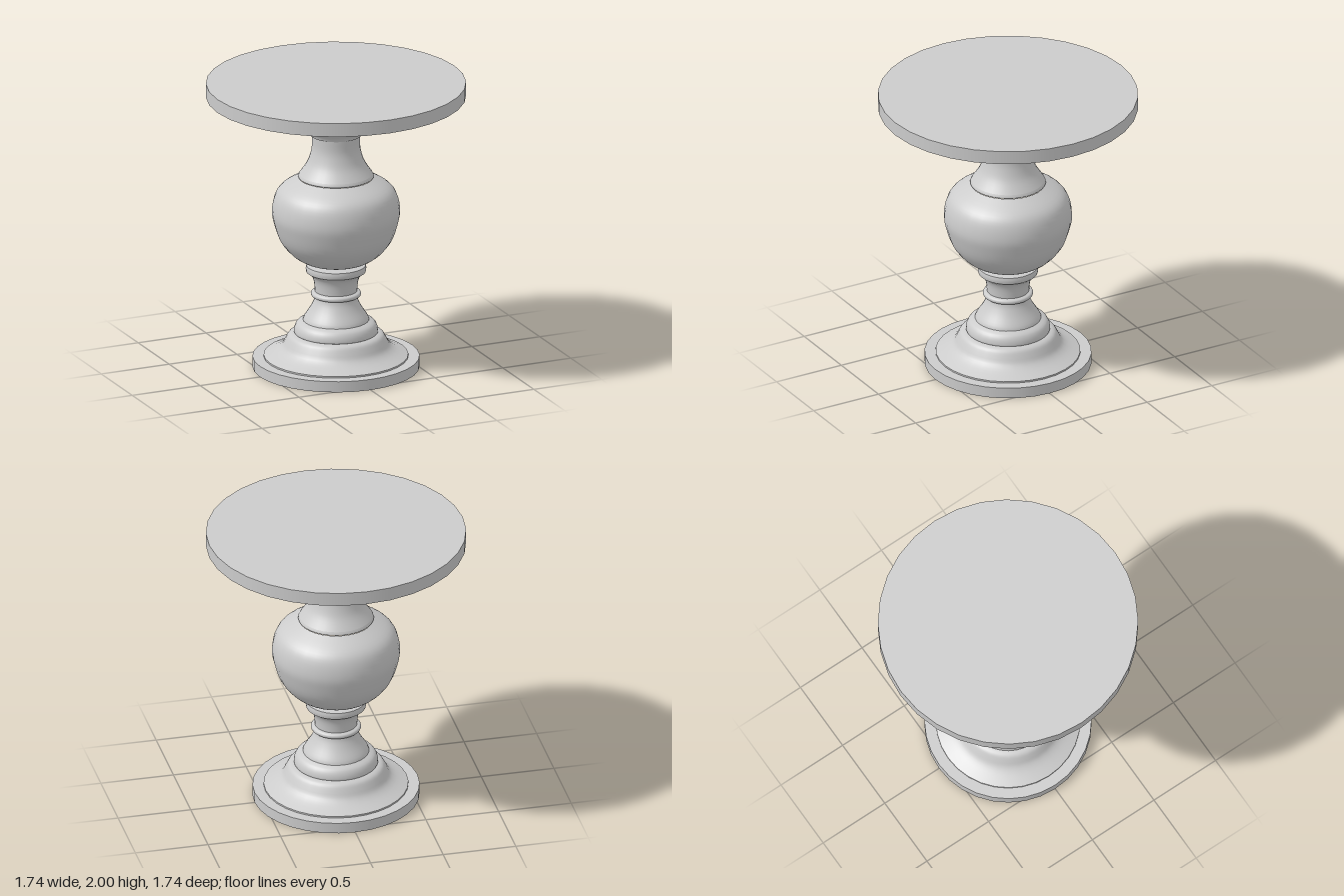
import * as THREE from 'three';

const SIDES = 32;
const material = new THREE.MeshStandardMaterial({ color: 0xcccccc });

export function createModel() {
  const table = new THREE.Group();
  table.name = 'pedestalTable';

  function add(name, geometry, y = 0) {
    const mesh = new THREE.Mesh(geometry, material);
    mesh.name = name;
    mesh.position.y = y;
    table.add(mesh);
  }

  // Flat round slab between two heights
  function slab(name, radius, y0, y1) {
    add(name, new THREE.CylinderGeometry(radius, radius, y1 - y0, SIDES), (y0 + y1) / 2);
  }

  // Turned section: [radius, height] points from bottom to top, smoothed by a spline
  function turned(name, profile, steps = 3) {
    const points = profile.map(([r, y]) => new THREE.Vector2(r, y));
    const smooth = points.length > 2
      ? new THREE.SplineCurve(points).getPoints((points.length - 1) * steps)
      : points;
    add(name, new THREE.LatheGeometry(smooth, SIDES), 0);
  }

  // Foot
  slab('basePlate', 0.56, 0, 0.075);
  turned('baseRim', [[0.485, 0.075], [0.485, 0.086]]);
  turned('baseBell', [[0.485, 0.086], [0.41, 0.118], [0.365, 0.15], [0.342, 0.19],
    [0.322, 0.225], [0.3, 0.24], [0.275, 0.246]]);
  turned('baseStep', [[0.275, 0.244], [0.283, 0.252], [0.277, 0.285], [0.258, 0.315], [0.222, 0.333]]);

  // Lower stem
  turned('lowerFlare', [[0.222, 0.333], [0.212, 0.358], [0.175, 0.415], [0.15, 0.464], [0.142, 0.495]]);
  turned('stemRing', [[0.14, 0.494], [0.162, 0.502], [0.168, 0.515], [0.162, 0.529], [0.14, 0.537]]);
  turned('lowerNeck', [[0.142, 0.535], [0.148, 0.6], [0.163, 0.642], [0.185, 0.662]]);
  turned('collarUnderside', [[0.183, 0.661], [0.2, 0.672]]);
  turned('collarBand', [[0.2, 0.672], [0.203, 0.695], [0.2, 0.717]]);
  turned('collarTop', [[0.2, 0.717], [0.14, 0.726]]);

  // Bulbous vase
  turned('vase', [[0.14, 0.727], [0.228, 0.757], [0.307, 0.812], [0.376, 0.9], [0.415, 1.01],
    [0.43, 1.1], [0.41, 1.205], [0.36, 1.272], [0.25, 1.336]], 4);

  // Upper neck
  turned('neckRim', [[0.245, 1.335], [0.254, 1.343], [0.246, 1.362]]);
  turned('upperNeck', [[0.246, 1.362], [0.198, 1.434], [0.173, 1.5], [0.162, 1.56], [0.163, 1.635]], 4);

  // Stepped capital
  turned('capitalUnderside', [[0.16, 1.632], [0.172, 1.636]]);
  turned('capitalLower', [[0.172, 1.636], [0.183, 1.66], [0.205, 1.685], [0.222, 1.703]]);
  turned('capitalMiddle', [[0.222, 1.703], [0.232, 1.715], [0.236, 1.73]]);
  turned('capitalUpper', [[0.236, 1.73], [0.25, 1.74], [0.262, 1.766]]);

  // Tabletop and its flared support
  turned('topFlare', [[0.25, 1.764], [0.305, 1.796], [0.385, 1.86], [0.45, 1.89], [0.525, 1.907]], 4);
  slab('tabletop', 0.872, 1.906, 2);

  return table;
}
